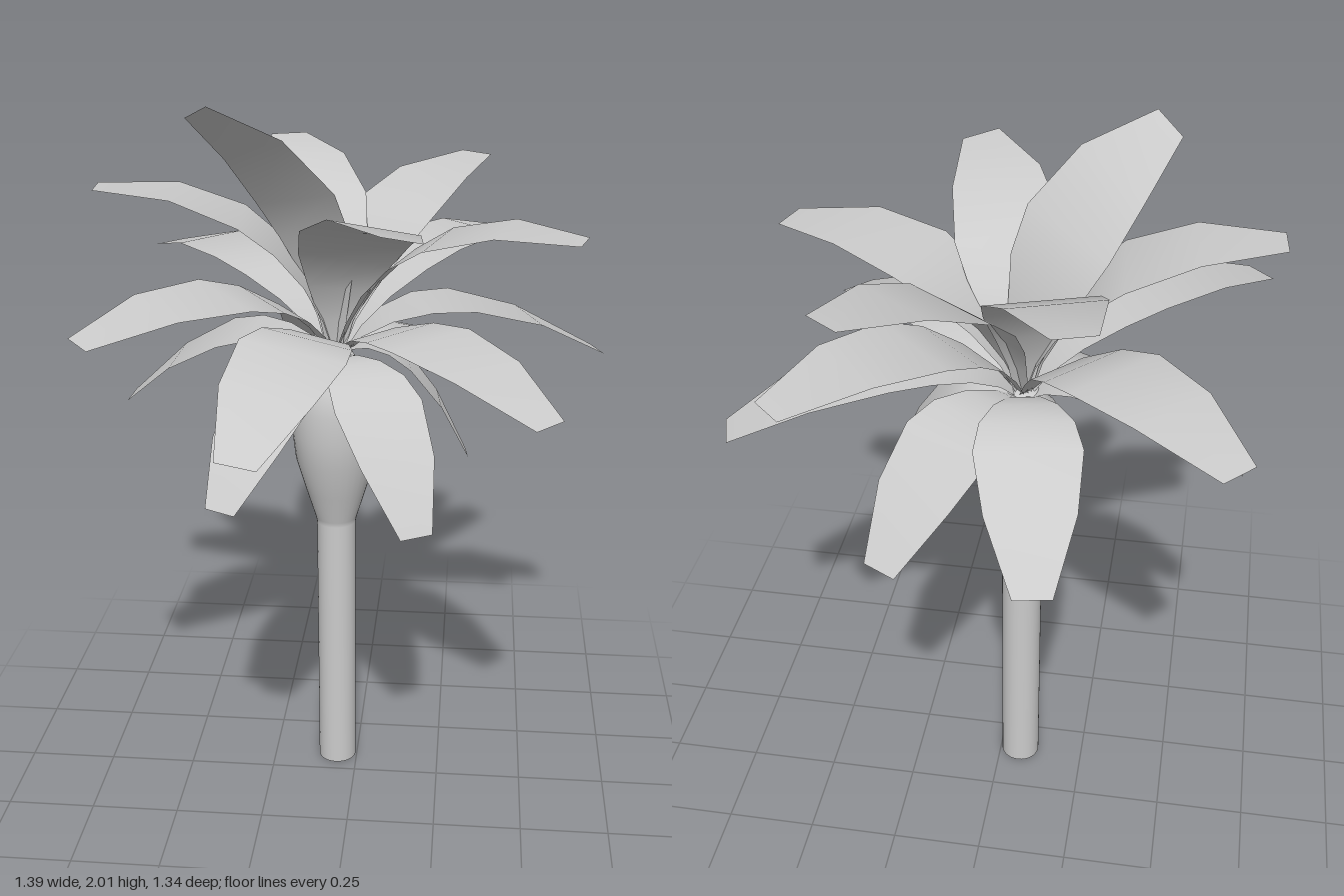
import * as THREE from 'three';

const BASE = new THREE.Vector3(-0.06, 1.3, -0.09);

// Leaves: tip x, y, z, then reach (0 = rises straight before arching), crown height, roll, width
const LEAVES = [
  // upper ring
  [-0.385, 1.99, 0.11, 0.0, 1.78, 0.45, 1],
  [0.15, 1.775, 0.49, 0.04, 1.77, -0.22, 1],
  [-0.69, 1.77, -0.04, 0.18, 1.8, 0, 1],
  [0.31, 1.77, -0.6, 0.18, 1.76, 0, 1],
  [0.59, 1.68, 0.09, 0.25, 1.78, 0, 1],
  [-0.25, 1.81, -0.64, 0.15, 1.8, 0, 1],
  // middle ring
  [0.45, 1.54, -0.62, 0.3, 1.7, 0, 1],
  [-0.62, 1.48, -0.61, 0.3, 1.67, 0, 1],
  [-0.65, 1.47, 0.38, 0.3, 1.66, -0.06, 1],
  [0.51, 1.31, 0.42, 0.35, 1.56, 0, 1],
  [0.675, 1.265, -0.32, 0.33, 1.6, -0.04, 1],
  [-0.22, 1.28, 0.66, 0.33, 1.57, -0.15, 1],
  // drooping ring
  [-0.645, 1.16, -0.11, 0.45, 1.5, 0, 0.95],
  [0.19, 0.97, 0.36, 0.5, 1.4, 0, 0.88],
  [-0.31, 1.04, 0.4, 0.5, 1.42, 0, 0.88],
  [0.31, 1.02, -0.1, 0.5, 1.45, -0.1, 0.75],
  [-0.17, 1.1, -0.66, 0.45, 1.5, 0, 0.95],
  [0.22, 1.08, -0.59, 0.45, 1.48, 0, 0.95],
];

// Leaf half widths along its length
const ROWS = [[0, 0.02], [0.12, 0.045], [0.25, 0.085], [0.4, 0.125], [0.55, 0.143], [0.78, 0.12], [1, 0.052]];

function leafGeometry([x, y, z, reach, crown, roll, width]) {
  const tip = new THREE.Vector3(x, y, z);
  const bend = BASE.clone().lerp(tip, reach).setY(crown);
  const curve = new THREE.QuadraticBezierCurve3(BASE, bend, tip);
  const out = tip.clone().sub(BASE).setY(0).normalize();
  const flatSide = new THREE.Vector3(out.z, 0, -out.x);
  const position = [], index = [];
  ROWS.forEach(([t, half], i) => {
    const centre = curve.getPoint(t);
    const side = flatSide.clone().applyAxisAngle(curve.getTangent(t), roll);
    for (const s of [-1, 1]) position.push(...centre.clone().addScaledVector(side, s * half * width).toArray());
    if (i) {
      const a = 2 * i - 2;
      index.push(a, a + 1, a + 3, a, a + 3, a + 2);
    }
  });
  const geometry = new THREE.BufferGeometry();
  geometry.setAttribute('position', new THREE.Float32BufferAttribute(position, 3));
  geometry.setIndex(index);
  geometry.computeVertexNormals();
  return geometry;
}

export function createModel() {
  const model = new THREE.Group();
  const material = new THREE.MeshStandardMaterial({ color: 0xcccccc, side: THREE.DoubleSide });

  // Straight trunk swelling into a bulb below the crown
  const profile = [
    [0.056, 0], [0.056, 0.8], [0.059, 0.815], [0.085, 0.9], [0.114, 1.0], [0.123, 1.08], [0.125, 1.16],
    [0.114, 1.22], [0.088, 1.27], [0.054, 1.3], [0.04, 1.325], [0, 1.33],
  ].map(([r, h]) => new THREE.Vector2(r, h));
  const trunk = new THREE.Mesh(new THREE.LatheGeometry(profile, 32), material);
  trunk.name = 'trunk';
  trunk.position.set(BASE.x, 0, BASE.z);
  model.add(trunk);

  // Crown of arching leaves
  const crown = new THREE.Group();
  crown.name = 'crown';
  for (const leaf of LEAVES) {
    const mesh = new THREE.Mesh(leafGeometry(leaf), material);
    mesh.name = 'leaf';
    crown.add(mesh);
  }
  model.add(crown);
  return model;
}
